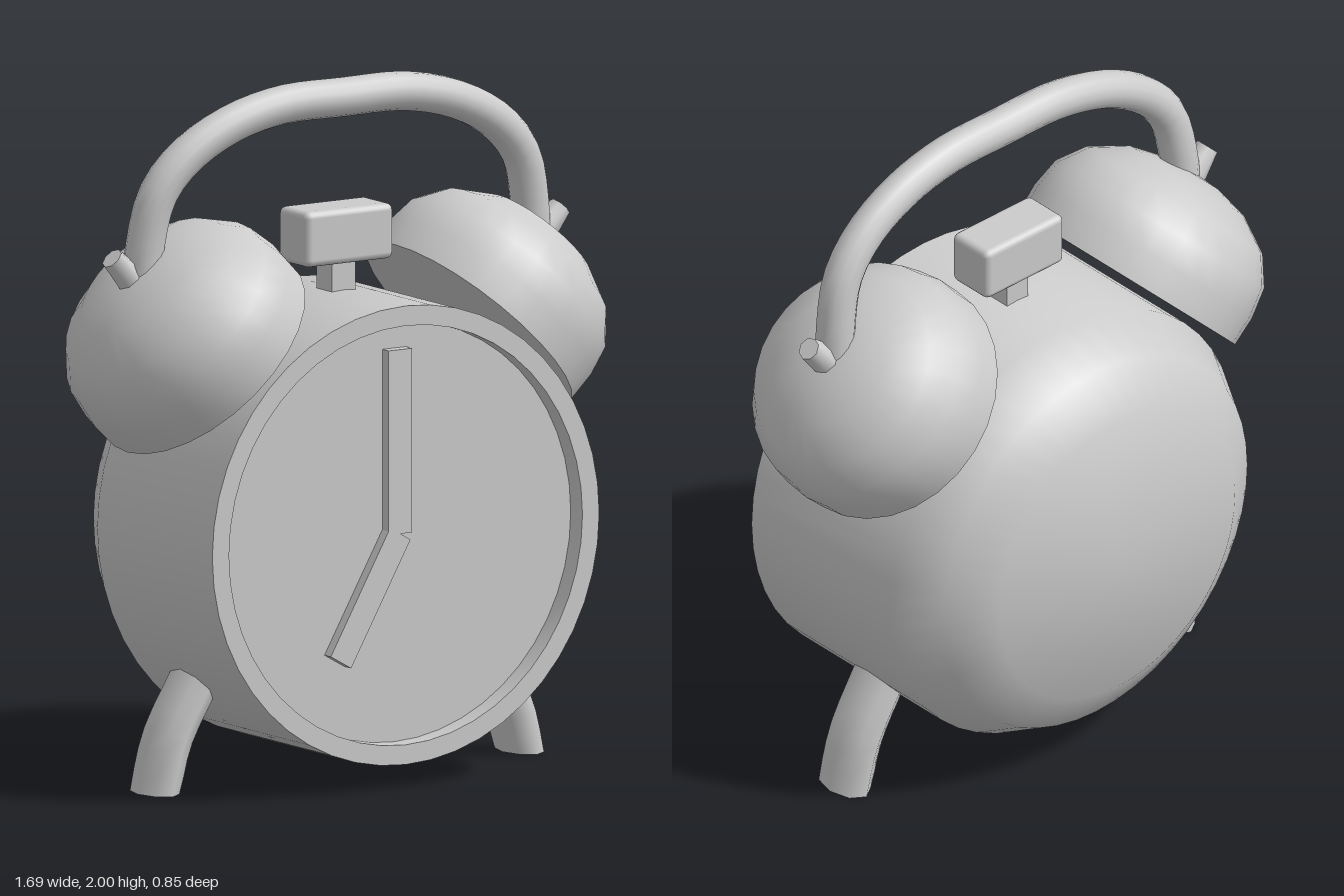
import * as THREE from 'three';
import { toCreasedNormals } from 'three/addons/utils/BufferGeometryUtils.js';
import { RoundedBoxGeometry } from 'three/addons/geometries/RoundedBoxGeometry.js';

const CY = 0.73;   // height of the dial centre
const MID_Z = 0.065; // plane of the bells, legs and hammer

export function createModel() {
  const model = new THREE.Group();
  model.name = 'alarmClock';
  const material = new THREE.MeshStandardMaterial({ color: 0xcccccc });

  const add = (name, geometry, parent = model) => {
    const mesh = new THREE.Mesh(geometry, material);
    mesh.name = name;
    parent.add(mesh);
    return mesh;
  };
  const lathe = (profile, segments, crease = 0.75) => toCreasedNormals(
    new THREE.LatheGeometry(profile.map(([r, y]) => new THREE.Vector2(r, y)), segments), crease);
  const curve = (points) => new THREE.CatmullRomCurve3(points.map((p) => new THREE.Vector3(...p)));

  // Case: domed back, straight drum, front rim and recessed dial
  const body = add('body', lathe([
    [0, -0.425], [0.45, -0.4], [0.58, -0.31], [0.66, -0.17],
    [0.66, 0.415], [0.603, 0.415], [0.603, 0.355], [0, 0.355],
  ], 48));
  body.rotation.x = Math.PI / 2;
  body.position.y = CY;

  // Hands, each pivoting about the dial centre
  const addHand = (name, length, angle) => {
    const hand = add(name, new THREE.BoxGeometry(0.08, length, 0.035).translate(0, length / 2, 0));
    hand.position.set(0, CY, 0.37);
    hand.rotation.z = angle;
  };
  addHand('minuteHand', 0.53, 0);
  addHand('hourHand', 0.405, Math.PI * 5 / 6);

  // Hammer between the bells
  add('hammerStem', new THREE.BoxGeometry(0.08, 0.16, 0.08)).position.set(0, 1.42, 0.06);
  add('hammerHead', new RoundedBoxGeometry(0.3, 0.16, 0.15, 2, 0.02)).position.set(0, 1.55, 0.06);

  // Bells with their knobs, and legs
  for (const side of [-1, 1]) {
    const label = side > 0 ? 'left' : 'right';

    const bell = new THREE.Group();
    bell.name = label + 'Bell';
    bell.position.set(side * 0.455, 1.24, 0.06);
    bell.rotation.z = -side * Math.PI / 4;
    model.add(bell);
    add('bellDome', lathe([
      [0, 0], [0.36, 0], [0.362, 0.09], [0.347, 0.18], [0.292, 0.26],
      [0.19, 0.325], [0.09, 0.35], [0, 0.356],
    ], 28), bell);
    add('bellKnob', toCreasedNormals(
      new THREE.CylinderGeometry(0.033, 0.05, 0.12, 8), 0.9), bell).position.y = 0.378;

    // Oval bent tube, cut flat on the floor
    const ring = 8;
    const leg = new THREE.TubeGeometry(curve([
      [side * 0.622, 0, 0], [side * 0.58, 0.15, 0], [side * 0.5, 0.29, 0], [side * 0.43, 0.4, 0],
    ]), 8, 0.06, ring, false);
    const pos = leg.attributes.position;
    for (let i = 0; i <= ring; i++) pos.setY(i, 0);
    leg.scale(1, 1, 1.53);
    const legGroup = new THREE.Group();
    legGroup.name = label + 'Leg';
    legGroup.position.z = MID_Z;
    model.add(legGroup);
    add('legTube', leg, legGroup);
    const foot = new THREE.CircleGeometry(0.06, ring).rotateX(Math.PI / 2).scale(1, 1, 1.53);
    add('legFoot', foot, legGroup).position.x = side * 0.622;
  }

  // Carrying handle, leaning slightly forward towards its top
  const half = [[0.665, 1.44, 0.06], [0.655, 1.58, 0.066], [0.62, 1.72, 0.076],
    [0.54, 1.815, 0.084], [0.4, 1.895, 0.09], [0.22, 1.94, 0.093]];
  add('handle', new THREE.TubeGeometry(curve([
    ...half.map(([x, y, z]) => [-x, y, z]), [0, 1.944, 0.094], ...half.slice().reverse(),
  ]), 40, 0.056, 14, false));

  return model;
}
